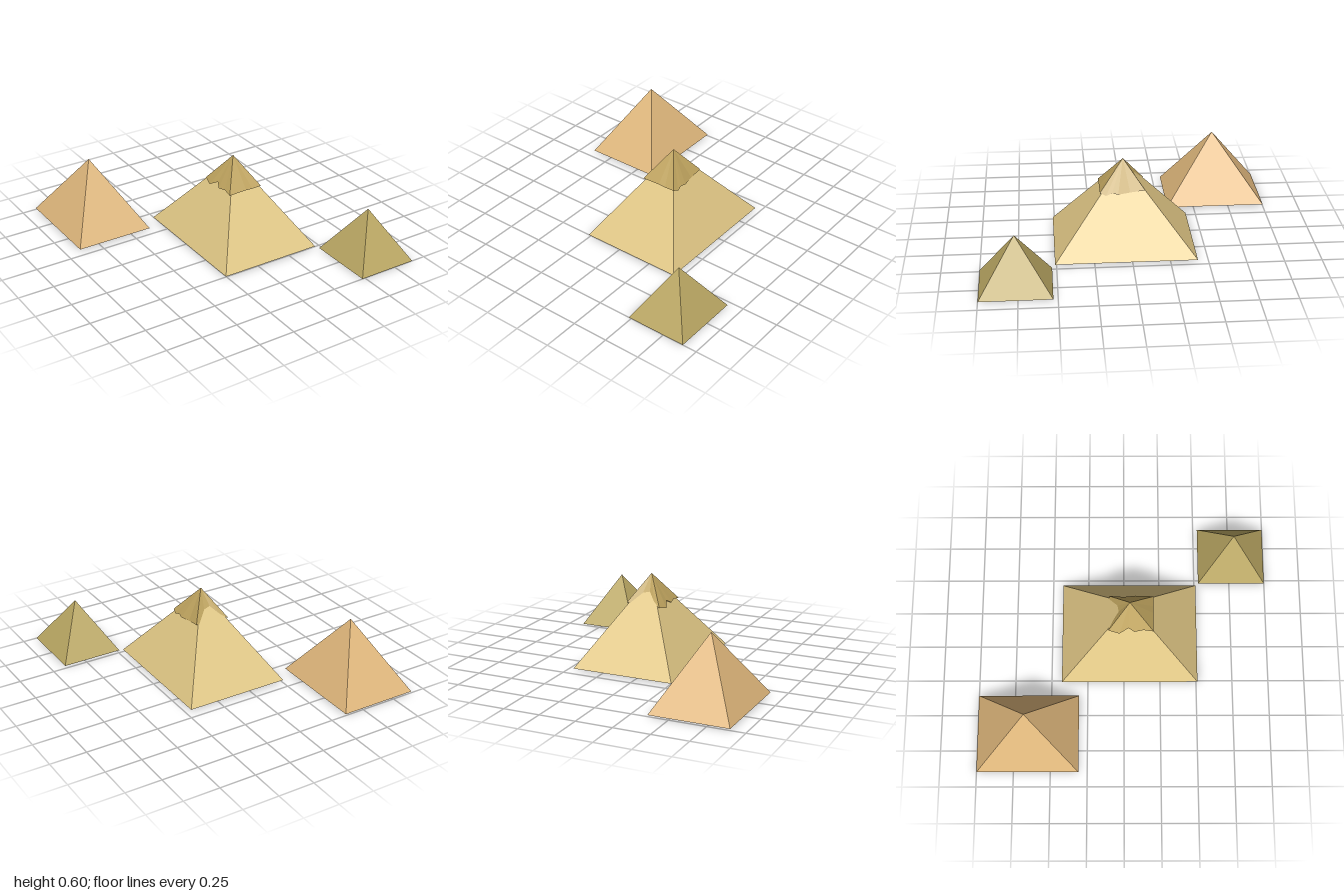
import * as THREE from 'three';

const stone = (color, side = THREE.FrontSide) =>
  new THREE.MeshStandardMaterial({ color, flatShading: true, side });

// Four-sided pyramid filling the given x and z ranges
function pyramid(name, color, [x0, x1], [z0, z1], base, top) {
  const geo = new THREE.ConeGeometry(Math.SQRT1_2, 1, 4)
    .rotateY(Math.PI / 4)
    .scale(x1 - x0, top - base, z1 - z0)
    .translate((x0 + x1) / 2, (base + top) / 2, (z0 + z1) / 2);
  const mesh = new THREE.Mesh(geo, stone(color));
  mesh.name = name;
  return mesh;
}

// Remaining casing around the summit: a ragged rim joined to the tip, with a closed underside
function casing(color) {
  const rim = [
    // front
    [-0.03, 0.4, 0.2], [0.1, 0.405, 0.2], [0.15, 0.402, 0.2], [0.22, 0.405, 0.2],
    // right
    [0.23, 0.388, 0.16], [0.224, 0.402, 0.12], [0.23, 0.394, 0.08], [0.218, 0.402, 0.0], [0.22, 0.415, -0.1],
    // back
    [0.14, 0.408, -0.092], [0.06, 0.4, -0.095], [0.02, 0.42, -0.09], [-0.025, 0.405, -0.105],
    // left
    [-0.042, 0.39, -0.03], [-0.015, 0.425, 0.03], [-0.033, 0.4, 0.07], [-0.024, 0.41, 0.13],
  ];
  const tip = [0.1, 0.6, 0.04], heart = [0.1, 0.43, 0.045];
  const pos = [];
  rim.forEach((p, i) => {
    const q = rim[(i + 1) % rim.length];
    pos.push(...tip, ...p, ...q, ...heart, ...q, ...p);
  });
  const geo = new THREE.BufferGeometry();
  geo.setAttribute('position', new THREE.Float32BufferAttribute(pos, 3));
  geo.computeVertexNormals();
  const mesh = new THREE.Mesh(geo, stone(color, THREE.DoubleSide));
  mesh.name = 'summitCasing';
  return mesh;
}

export function createModel() {
  const group = new THREE.Group();
  group.name = 'pyramids';
  group.add(
    pyramid('backPyramid', 0xdeb67b, [-0.9, -0.36], [-1, -0.31], 0.01, 0.475),
    pyramid('middlePyramid', 0xdfc684, [-0.26, 0.46], [-0.43, 0.51], 0.01, 0.58),
    pyramid('frontPyramid', 0xbaa763, [0.48, 0.9], [0.53, 1], 0, 0.35),
    casing(0xbea35e),
  );
  return group;
}
